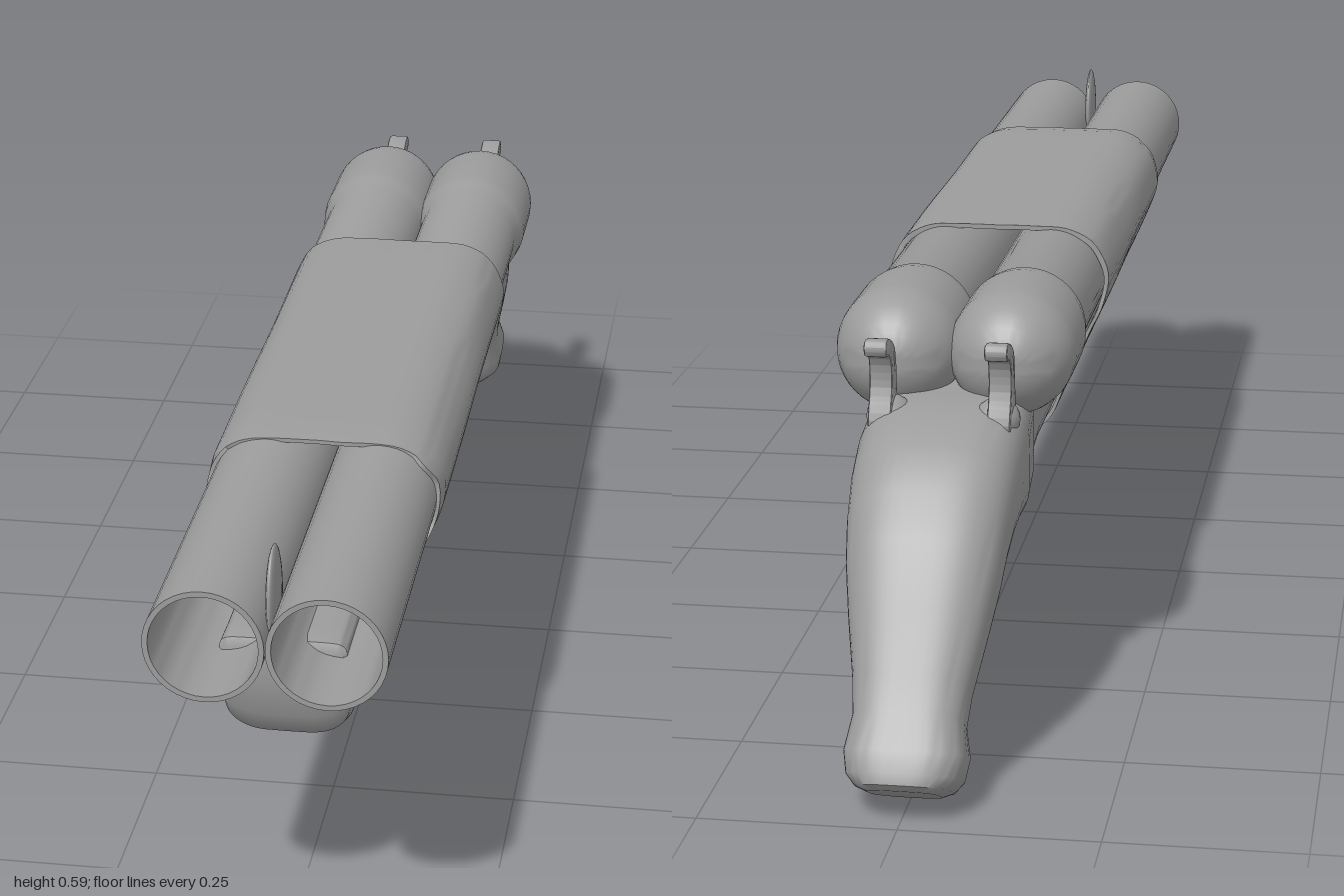
import * as THREE from 'three';
import { toCreasedNormals } from 'three/addons/utils/BufferGeometryUtils.js';

const material = new THREE.MeshStandardMaterial({ color: 0x9c9c9c, side: THREE.DoubleSide });

function part(group, name, geometry, x = 0, y = 0, z = 0) {
  const mesh = new THREE.Mesh(geometry, material);
  mesh.name = name;
  mesh.position.set(x, y, z);
  group.add(mesh);
  return mesh;
}

// Skin a series of closed rings that run from front to back.
function loft(rings, crease) {
  const n = rings[0].length, index = [];
  for (let i = 0; i < rings.length - 1; i++) {
    for (let j = 0; j < n; j++) {
      const a = i * n + j, b = i * n + (j + 1) % n;
      index.push(a, a + n, b, b, a + n, b + n);
    }
  }
  const g = new THREE.BufferGeometry().setFromPoints(rings.flat());
  g.setIndex(index);
  return toCreasedNormals(g, crease);
}

// Side profile in (-z, y), thickened along x.
function plate(points, width) {
  const shape = new THREE.Shape();
  shape.moveTo(...points[0]);
  shape.splineThru(points.slice(1).concat([points[0]]).map(p => new THREE.Vector2(...p)));
  const g = new THREE.ExtrudeGeometry(shape, {
    depth: width - 0.008, curveSegments: 32,
    bevelSize: 0.003, bevelThickness: 0.004, bevelSegments: 2
  });
  g.translate(0, 0, -(width - 0.008) / 2);
  g.rotateY(Math.PI / 2);
  return toCreasedNormals(g, 0.7);
}

// Hollow barrel with a domed breech.
function barrelGeometry() {
  const p = [];
  for (let i = 0; i <= 10; i++) {
    const a = i / 10 * Math.PI / 2;
    p.push([0.084 * Math.sin(a), -0.53 - 0.092 * Math.cos(a)]);
  }
  p.push([0.084, -0.43], [0.081, -0.405], [0.074, -0.385], [0.074, 1], [0.067, 1], [0.067, -0.5]);
  for (let i = 1; i <= 8; i++) {
    const a = i / 8 * Math.PI / 2;
    p.push([0.067 * Math.cos(a), -0.5 - 0.08 * Math.sin(a)]);
  }
  const g = new THREE.LatheGeometry(p.map(([r, y]) => new THREE.Vector2(Math.max(r, 0), y)), 40);
  g.rotateX(Math.PI / 2);
  return toCreasedNormals(g, 0.6);
}

// Fore-end, receiver and grip as one body.
// Station: top z, top y, bottom z, bottom y, half width, squareness below, squareness above.
function stockGeometry() {
  const stations = [
    [0.88, 0.42, 0.88, 0.37, 0.076, 5, 10],
    [0.876, 0.43, 0.87, 0.32, 0.08, 5, 10],
    [0.86, 0.432, 0.85, 0.287, 0.08, 5, 10],
    [0.83, 0.432, 0.80, 0.266, 0.08, 5, 10],
    [0.75, 0.432, 0.75, 0.262, 0.08, 5, 10],
    [-0.30, 0.432, -0.30, 0.262, 0.08, 5, 10],
    [-0.42, 0.432, -0.42, 0.26, 0.086, 4.5, 9],
    [-0.52, 0.437, -0.50, 0.252, 0.1, 4, 6],
    [-0.61, 0.438, -0.59, 0.248, 0.107, 3.8, 4.5],
    [-0.68, 0.435, -0.66, 0.25, 0.108, 3.2, 3.2],
    [-0.745, 0.412, -0.70, 0.24, 0.106, 2.8, 2.8],
    [-0.80, 0.372, -0.735, 0.22, 0.102, 2.7, 2.7],
    [-0.84, 0.318, -0.765, 0.19, 0.097, 2.7, 2.7],
    [-0.88, 0.25, -0.80, 0.15, 0.087, 2.7, 2.7],
    [-0.925, 0.175, -0.84, 0.10, 0.074, 2.8, 2.8],
    [-0.95, 0.135, -0.858, 0.07, 0.07, 3, 3],
    [-0.98, 0.095, -0.868, 0.04, 0.077, 3.2, 3.2],
    [-0.996, 0.072, -0.88, 0.012, 0.072, 3.2, 3],
    [-1.0, 0.058, -0.89, 0.001, 0.06, 3.2, 3],
    [-0.992, 0.047, -0.9, 0, 0.045, 3.2, 3]
  ];
  const rings = stations.map(([tz, ty, bz, by, w, below, above]) => {
    const ring = [];
    for (let j = 0; j < 48; j++) {
      const a = j / 48 * Math.PI * 2;
      const n = Math.sin(a) < 0 ? below : above;
      const c = Math.sign(Math.cos(a)) * Math.abs(Math.cos(a)) ** (2 / n);
      const s = Math.sign(Math.sin(a)) * Math.abs(Math.sin(a)) ** (2 / n);
      const taper = 1 - (s < 0 ? 0.25 * s ** 4 : 0);
      const t = (s + 1) / 2;
      ring.push(new THREE.Vector3(c * w * taper, by + (ty - by) * t, bz + (tz - bz) * t));
    }
    return ring;
  });
  // Close both ends.
  const centre = ring => {
    const m = new THREE.Vector3();
    ring.forEach(v => m.addScaledVector(v, 1 / ring.length));
    return ring.map(() => m.clone());
  };
  return loft([centre(rings[0]), ...rings, centre(rings[rings.length - 1])], 0.75);
}

// Slightly wrinkled wrap around barrels and fore-end.
function wrapGeometry() {
  const half = [[0.045, 0.254], [0.072, 0.275], [0.1, 0.335], [0.128, 0.4], [0.149, 0.445],
    [0.157, 0.48], [0.151, 0.512], [0.132, 0.54], [0.1, 0.556], [0.05, 0.559]];
  const outline = [[0, 0.248], ...half, [0, 0.559], ...half.slice().reverse().map(([x, y]) => [-x, y])];
  const curve = new THREE.CatmullRomCurve3(outline.map(([x, y]) => new THREE.Vector3(x, y, 0)), true);
  const section = curve.getSpacedPoints(96).slice(0, 96);
  const ring = (z, scale, ragged) => section.map((p, j) => {
    const a = j / 96 * Math.PI * 2;
    const sides = p.y < 0.54 ? 1 : 0.2;
    const ripple = 1 + 0.006 * sides * Math.sin(a * 13 + z * 5) * Math.sin(a * 5 - z * 9);
    const k = scale * ripple;
    const edge = ragged * sides * (Math.sin(a * 9) + 0.6 * Math.sin(a * 17 + 1));
    return new THREE.Vector3(p.x * k, 0.405 + (p.y - 0.405) * k, z + edge);
  });
  const rings = [ring(0.565, 0.98, 0.005), ring(0.53, 1, 0.003)];
  for (let i = 1; i <= 12; i++) rings.push(ring(0.53 - i * 0.055, 1, 0));
  rings.push(ring(-0.152, 0.997, 0.001), ring(-0.152, 0.955, 0.001), ring(0.565, 0.945, 0.005));
  rings.push(rings[0].map(v => v.clone()));
  return loft(rings, 0.6);
}

export function createModel() {
  const model = new THREE.Group();
  model.name = 'doubleBarrelShotgun';

  part(model, 'stock', stockGeometry());
  part(model, 'wrap', wrapGeometry());

  const hammer = [[0.618, 0.41], [0.63, 0.45], [0.634, 0.485], [0.645, 0.51], [0.67, 0.524],
    [0.694, 0.527], [0.695, 0.513], [0.675, 0.508], [0.662, 0.492], [0.66, 0.46], [0.675, 0.41]];
  for (const [side, s] of [['left', 1], ['right', -1]]) {
    part(model, side + 'Barrel', barrelGeometry(), s * 0.0745, 0.48, 0);
    part(model, side + 'Hammer', plate(hammer, 0.03), s * 0.077, 0, 0);
    // Rounded hammer pivot
    const pivot = part(model, side + 'HammerBase', new THREE.SphereGeometry(0.03, 20, 12), s * 0.07, 0.418, -0.64);
    pivot.scale.set(1, 0.9, 1.2);
  }

  // Rib between the barrels
  part(model, 'rib', new THREE.BoxGeometry(0.03, 0.02, 1.2), 0, 0.43, 0.2);

  // Bead sight
  part(model, 'frontSight', new THREE.SphereGeometry(1, 24, 16), 0, 0.52, 0.93).scale.set(0.008, 0.066, 0.04);

  // Trigger and guard
  const guardPath = [[0.262, -0.518], [0.21, -0.525], [0.172, -0.55], [0.148, -0.60],
    [0.144, -0.65], [0.157, -0.69], [0.188, -0.72], [0.23, -0.735]];
  const guardCurve = new THREE.CatmullRomCurve3(guardPath.map(([y, z]) => new THREE.Vector3(0, y, z)));
  part(model, 'triggerGuard', new THREE.TubeGeometry(guardCurve, 48, 0.014, 12, false)).scale.x = 0.65;
  part(model, 'trigger', plate([[0.615, 0.265], [0.628, 0.225], [0.634, 0.2], [0.63, 0.184],
    [0.642, 0.186], [0.648, 0.205], [0.647, 0.23], [0.65, 0.265]], 0.016));

  return model;
}
